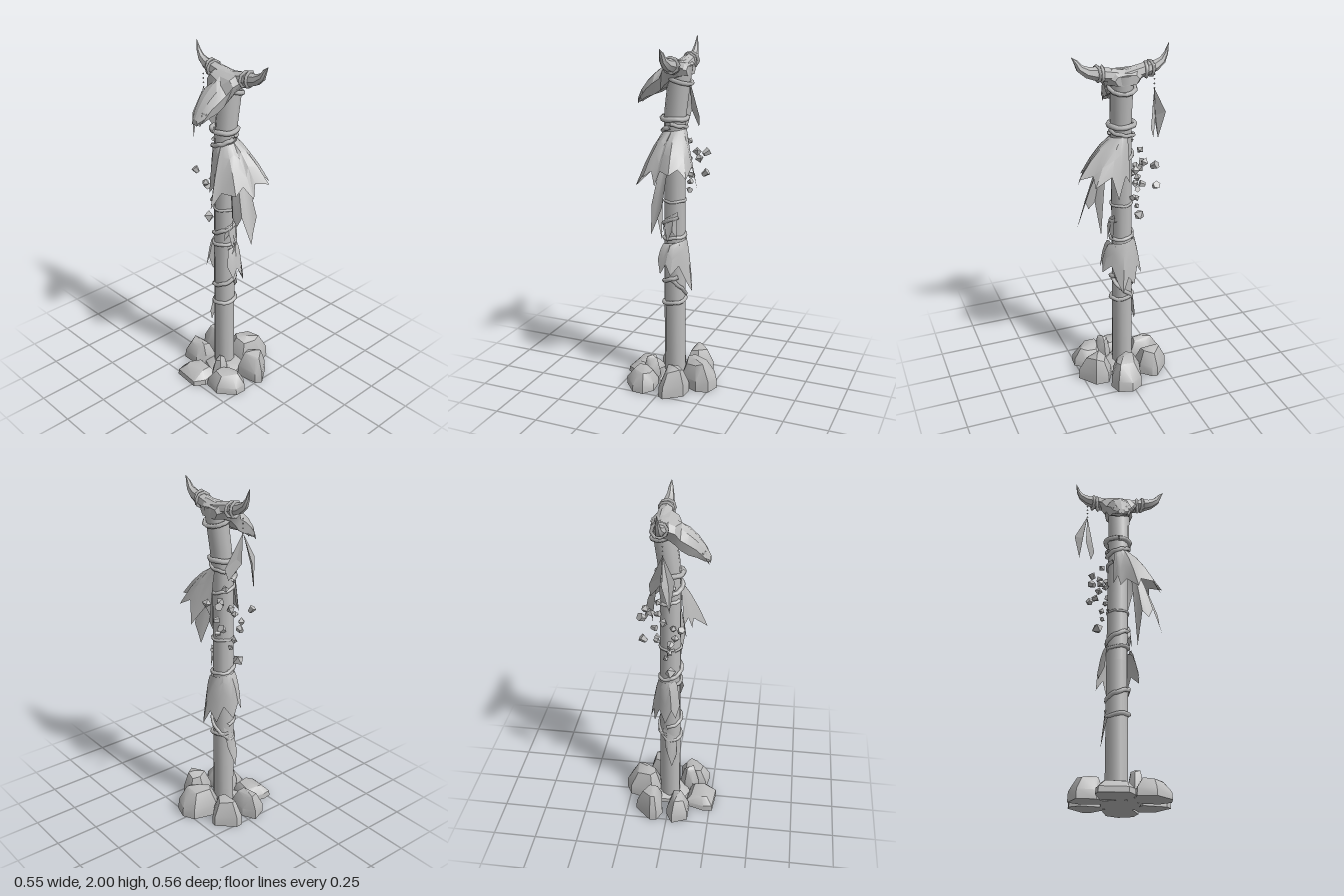
import * as THREE from 'three';
import { ConvexGeometry } from 'three/addons/geometries/ConvexGeometry.js';
import { toCreasedNormals } from 'three/addons/utils/BufferGeometryUtils.js';

const V = (x, y, z) => new THREE.Vector3(x, y, z);
const rad = THREE.MathUtils.degToRad;

// Seeded random number in 0..1
let seed = 7;
const rnd = () => (seed = (seed * 16807) % 2147483647) / 2147483647;

// Point on a ring around the pole: 0 degrees is the front, 90 is the model's left
const polar = (a, r, y) => V(-0.012 + r * Math.sin(rad(a)), y, -0.005 + r * Math.cos(rad(a)));

function fromTriangles(pts, idx) {
  const g = new THREE.BufferGeometry();
  g.setAttribute('position', new THREE.Float32BufferAttribute(pts.flatMap(p => [p.x, p.y, p.z]), 3));
  g.setIndex(idx);
  return g;
}

// Closed skin over rings of points, capped at both ends, facing outwards
function loft(rings, crease = 0.7) {
  const n = rings[0].length, pts = rings.flat(), idx = [];
  for (let i = 0; i < rings.length - 1; i++)
    for (let j = 0; j < n; j++) {
      const a = i * n + j, b = i * n + (j + 1) % n;
      idx.push(a, b, b + n, a, b + n, a + n);
    }
  const last = (rings.length - 1) * n;
  for (let j = 1; j < n - 1; j++) idx.push(0, j + 1, j, last, last + j, last + j + 1);
  let volume = 0;
  for (let i = 0; i < idx.length; i += 3)
    volume += pts[idx[i]].dot(V().crossVectors(pts[idx[i + 1]], pts[idx[i + 2]]));
  if (volume < 0) idx.reverse();
  return toCreasedNormals(fromTriangles(pts, idx), crease);
}

// Hanging sheet between a top edge and a ragged bottom edge, bulging in the middle
function sheet(top, bottom, bulge) {
  const n = top.length, pts = [], idx = [], steps = 3;
  for (let k = 0; k <= steps; k++)
    for (let j = 0; j < n; j++) {
      const p = top[j].clone().lerp(bottom[j], k / steps);
      p.y += bulge * Math.sin(Math.PI * k / steps);
      pts.push(p);
    }
  for (let k = 0; k < steps; k++)
    for (let j = 0; j < n - 1; j++) {
      const a = k * n + j;
      idx.push(a, a + n, a + 1, a + 1, a + n, a + n + 1);
    }
  return toCreasedNormals(fromTriangles(pts, idx), 0.5);
}

export function createModel() {
  const model = new THREE.Group();
  const grey = new THREE.MeshStandardMaterial({ color: 0xbcbcbc, side: THREE.DoubleSide });
  grey.name = 'plain grey';
  const add = (name, geometry, parent = model) => {
    const m = new THREE.Mesh(geometry, grey);
    m.name = name;
    parent.add(m);
    return m;
  };
  const group = name => {
    const g = new THREE.Group();
    g.name = name;
    model.add(g);
    return g;
  };

  // Pole, leaning back at the top
  const poleRings = [[-0.018, 0, -0.005, 0.062], [-0.015, 0.8, -0.005, 0.06], [-0.01, 1.5, -0.005, 0.059],
    [-0.004, 1.62, -0.014, 0.062], [0, 1.86, -0.046, 0.064]];
  add('pole', loft(poleRings.map(([x, y, z, r]) => Array.from({ length: 10 }, (_, i) => {
    const a = i * Math.PI / 5;
    return V(x + r * Math.cos(a), y, z + r * Math.sin(a));
  }))));

  // Rocks around the foot: height, peak x, peak z, then the outline on the ground as x, z
  const rocks = group('rocks');
  [
    [0.165, 0.03, -0.15, [[-0.09, -0.11], [-0.05, -0.25], [0.02, -0.285], [0.1, -0.26], [0.12, -0.19], [0.07, -0.08], [-0.03, -0.06]]],
    [0.155, -0.16, -0.1, [[-0.265, -0.1], [-0.175, -0.195], [-0.145, -0.19], [-0.085, -0.13], [-0.08, -0.05], [-0.2, -0.03], [-0.262, -0.06]]],
    [0.135, -0.16, 0.06, [[-0.275, 0.035], [-0.235, 0.125], [-0.13, 0.125], [-0.09, 0.08], [-0.08, 0.01], [-0.2, -0.005]]],
    [0.08, -0.04, 0.18, [[-0.145, 0.215], [-0.135, 0.268], [0.02, 0.28], [0.06, 0.22], [0.05, 0.12], [-0.11, 0.1]]],
    [0.11, 0.15, 0.12, [[0.065, 0.21], [0.165, 0.227], [0.255, 0.15], [0.26, 0.085], [0.2, 0.04], [0.1, 0.05], [0.06, 0.13]]],
    [0.165, 0.17, -0.08, [[0.2, -0.145], [0.275, -0.045], [0.25, -0.01], [0.12, 0.01], [0.08, -0.08], [0.12, -0.15]]],
    [0.16, 0.07, 0.105, [[0.03, 0.08], [0.07, 0.05], [0.115, 0.1], [0.11, 0.145], [0.06, 0.165], [0.025, 0.13]]],
    [0.06, 0, 0, [[-0.1, -0.08], [0, -0.12], [0.1, -0.08], [0.11, 0.05], [0, 0.12], [-0.1, 0.08]]]
  ].forEach(([h, px, pz, outline]) => {
    const pts = [];
    [[0, 1], [0.42, 0.97], [0.95, 0.58]].forEach(([t, s]) => outline.forEach(([x, z], i) =>
      pts.push(V(px + (x - px) * s, h * t * (1 - 0.07 * (i % 3)), pz + (z - pz) * s))));
    pts.push(V(px, h, pz));
    add('rock', toCreasedNormals(new ConvexGeometry(pts), 0.6), rocks);
  });

  // Skull: z, crown y, brow x, brow y, side x, side y, jaw x, jaw y, floor y
  const skull = group('skull');
  const skullX = -0.01;
  add('skullBone', loft([
    [-0.1, 1.865, 0.05, 1.86, 0.07, 1.84, 0.05, 1.81, 1.81],
    [-0.06, 1.885, 0.075, 1.895, 0.115, 1.86, 0.08, 1.81, 1.8],
    [-0.01, 1.885, 0.08, 1.885, 0.118, 1.855, 0.075, 1.79, 1.77],
    [0.03, 1.87, 0.072, 1.865, 0.1, 1.835, 0.066, 1.755, 1.74],
    [0.055, 1.855, 0.032, 1.835, 0.076, 1.79, 0.06, 1.725, 1.73],
    [0.095, 1.825, 0.045, 1.812, 0.072, 1.765, 0.056, 1.7, 1.72],
    [0.14, 1.785, 0.038, 1.772, 0.057, 1.73, 0.048, 1.685, 1.7],
    [0.18, 1.735, 0.028, 1.722, 0.046, 1.685, 0.034, 1.66, 1.675],
    [0.208, 1.68, 0.012, 1.675, 0.02, 1.66, 0.012, 1.645, 1.65]
  ].map(([z, top, bx, by, sx, sy, jx, jy, low]) => [
    [0, top], [bx, by], [sx, sy], [jx, jy], [0, low], [-jx, jy], [-sx, sy], [-bx, by]
  ].map(([x, y]) => V(skullX + x, y, z))), 0.35));
  for (const s of [-1, 1]) {
    const spike = add('snoutSpike', new THREE.ConeGeometry(0.018, 0.08, 4), skull);
    spike.position.set(skullX + s * 0.03, 1.675, 0.185);
    spike.rotation.x = Math.PI - 0.5;
  }

  // Horns with bindings: x, y, height radius, depth radius
  for (const s of [-1, 1]) {
    const tip = s < 0 ? [0.265, 2.0] : [0.272, 1.97];
    const path = [[0, 1.852, 0.034, 0.052], [0.09, 1.864, 0.038, 0.044], [0.14, 1.874, 0.038, 0.038],
      [0.19, 1.885, 0.03, 0.03], [0.23, 1.91, 0.021, 0.02], [0.25, 1.945, 0.012, 0.012], [...tip, 0.001, 0.001]];
    add('horn', loft(path.map(([x, y, r, d], i) => {
      const p = path[Math.max(i - 1, 0)], q = path[Math.min(i + 1, path.length - 1)];
      const t = Math.atan2(q[1] - p[1], q[0] - p[0]);
      return Array.from({ length: 7 }, (_, j) => {
        const a = j / 7 * Math.PI * 2, u = r * Math.cos(a);
        return V(s * (x - u * Math.sin(t)), y + u * Math.cos(t), -0.045 + 0.03 * x + d * Math.sin(a));
      });
    })), skull);
    [0.122, 0.148].forEach((x, i) => {
      const ring = add('hornBinding', new THREE.TorusGeometry(0.04, 0.01, 4, 8), skull);
      ring.position.set(s * x - 0.012, 1.869 + i * 0.005, -0.042);
      ring.rotation.set(0, Math.PI / 2 + (i - 0.5) * 0.35, s * 0.15);
    });
  }

  // Cords wound round the pole: from angle, to angle, from y, to y, radius, thickness
  const cords = group('cords');
  [[0, 360, 1.57, 1.575, 0.071, 0.015], [90, 300, 1.545, 1.5, 0.066, 0.011],
    [-80, 90, 1.46, 1.53, 0.066, 0.013], [-60, 300, 1.1, 1.11, 0.06, 0.008], [-100, 130, 0.91, 1.02, 0.062, 0.013],
    [-90, 270, 0.87, 0.91, 0.062, 0.011], [-100, 130, 0.57, 0.66, 0.062, 0.013],
    [-100, 260, 0.47, 0.52, 0.062, 0.013], [100, 280, 0.64, 0.46, 0.062, 0.012], [90, 330, 1.36, 1.42, 0.062, 0.01]
  ].forEach(([a0, a1, y0, y1, r, t]) => {
    const pts = Array.from({ length: 13 }, (_, i) =>
      polar(a0 + (a1 - a0) * i / 12, r, y0 + (y1 - y0) * i / 12 + 0.003 * Math.sin(i * 2.1)));
    add('cord', new THREE.TubeGeometry(new THREE.CatmullRomCurve3(pts), 20, t, 5), cords);
  });
  const topCord = add('skullCord', new THREE.TorusGeometry(0.071, 0.013, 5, 12), cords);
  topCord.position.set(-0.003, 1.785, -0.037);
  topCord.rotation.x = Math.PI / 2 - 0.3;

  // Ragged cloths: the top edge follows the pole, the bottom edge is angle, radius, y
  const cloth = (name, a0, a1, y0, y1, r, edge, bulge) => add(name, sheet(
    edge.map((_, i) => {
      const t = i / (edge.length - 1);
      return polar(a0 + (a1 - a0) * t, r, y0 + (y1 - y0) * t);
    }), edge.map(e => polar(...e)), bulge));
  cloth('upperCloth', -25, 190, 1.49, 1.52, 0.066, [[-22, 0.085, 1.26], [-5, 0.1, 1.3], [3, 0.12, 1.23],
    [18, 0.13, 1.27], [27, 0.22, 1.19], [42, 0.18, 1.27], [62, 0.23, 1.27], [75, 0.21, 1.31], [86, 0.25, 1.24],
    [92, 0.23, 1.32], [105, 0.28, 1.31], [116, 0.22, 1.33], [126, 0.25, 1.28], [143, 0.18, 1.33],
    [155, 0.18, 1.2], [172, 0.11, 1.31], [188, 0.1, 1.26]], 0.025);
  cloth('longCloth', 62, 112, 1.46, 1.46, 0.07, [[73, 0.115, 0.9], [64, 0.15, 1.1], [68, 0.185, 1.06],
    [74, 0.205, 1.12], [82, 0.255, 0.97], [88, 0.24, 1.04], [95, 0.235, 1.12]], 0.04);
  cloth('middleCloth', 65, 305, 0.86, 0.9, 0.067, [[55, 0.115, 0.77], [70, 0.125, 0.69], [85, 0.115, 0.75],
    [100, 0.125, 0.69], [125, 0.1, 0.74], [150, 0.11, 0.64], [165, 0.125, 0.58], [185, 0.1, 0.67], [210, 0.1, 0.61],
    [235, 0.095, 0.71], [262, 0.12, 0.64], [280, 0.115, 0.73], [292, 0.12, 0.68], [310, 0.1, 0.75]], 0.035);
  cloth('sideWrap', 50, 125, 1.0, 1.05, 0.066, [[45, 0.075, 0.92], [65, 0.08, 0.96], [80, 0.08, 0.87],
    [100, 0.08, 0.94], [120, 0.075, 0.9]], 0);
  cloth('lowerStrip', 235, 310, 0.56, 0.49, 0.066, [[255, 0.075, 0.42], [268, 0.085, 0.37],
    [282, 0.095, 0.3], [300, 0.09, 0.38]], 0);

  // Feathers on a beaded thread under the right horn: tip, then the two widest points
  const feathers = group('feathers');
  for (let i = 0; i < 4; i++)
    add('bead', new THREE.OctahedronGeometry(0.006), feathers).position.set(-0.195, 1.83 - i * 0.025, -0.02);
  [[V(-0.24, 1.45, 0.02), V(-0.268, 1.61, -0.015), V(-0.215, 1.62, 0.045)],
    [V(-0.165, 1.5, -0.09), V(-0.2, 1.59, -0.03), V(-0.145, 1.56, -0.1)]
  ].forEach(([tip, left, right]) => {
    const top = V(-0.195, 1.755, -0.02);
    const mid = top.clone().lerp(tip, 0.55).add(V(0, 0, 0.012));
    const g = fromTriangles([top, left, tip, right, mid], [0, 1, 4, 1, 2, 4, 2, 3, 4, 3, 0, 4]);
    add('feather', toCreasedNormals(g, 0.1), feathers);
  });

  // Loose nuggets hanging beside the pole: x, y, z, size
  const nuggets = group('nuggets');
  [[-0.1, 1.43, -0.06, 0.02], [-0.15, 1.36, -0.14, 0.025], [-0.11, 1.37, -0.1, 0.024], [-0.165, 1.3, 0.07, 0.022],
    [-0.11, 1.31, -0.03, 0.024], [-0.165, 1.235, -0.13, 0.024], [-0.125, 1.225, 0.035, 0.022], [-0.145, 1.19, 0.01, 0.022],
    [-0.085, 1.26, 0.02, 0.02], [-0.06, 1.245, -0.09, 0.02], [-0.105, 1.115, 0, 0.018], [-0.055, 1.16, -0.075, 0.018],
    [-0.1, 1.075, -0.02, 0.016], [-0.07, 1.34, -0.07, 0.02], [-0.04, 1.35, -0.14, 0.024], [-0.08, 1.2, -0.07, 0.018],
    [-0.128, 1.0, 0.01, 0.032]
  ].forEach(([x, y, z, r], i) => {
    const g = i % 2 ? new THREE.CylinderGeometry(r * 0.6, r * 0.95, r * 1.5, 5) : new THREE.OctahedronGeometry(r * 1.1);
    const m = add('nugget', toCreasedNormals(g, 0.1), nuggets);
    m.position.set(x, y, z);
    m.rotation.set(rnd() * 3, rnd() * 3, rnd() * 3);
  });

  return model;
}
